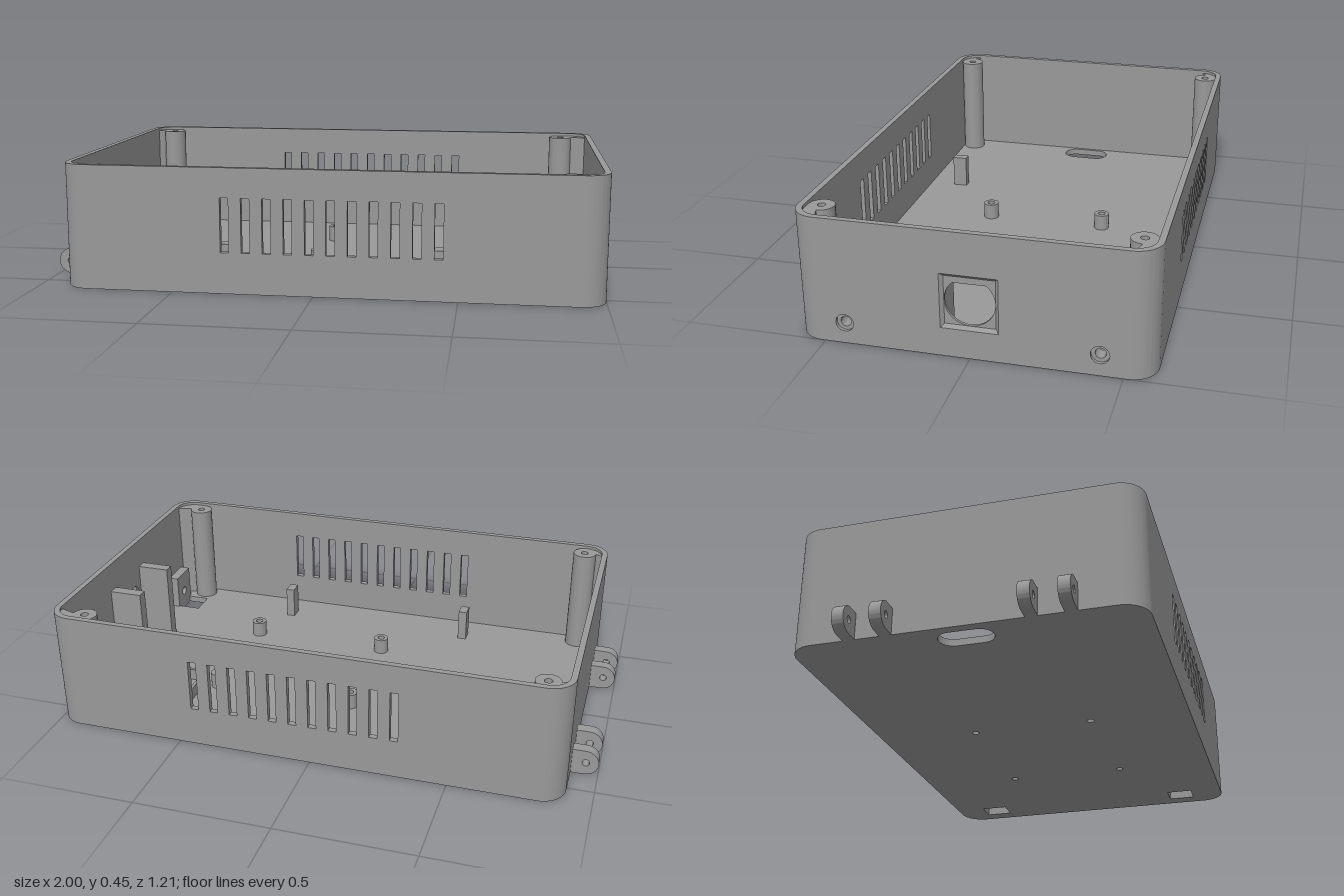
import * as THREE from 'three';
import { toCreasedNormals } from 'three/addons/utils/BufferGeometryUtils.js';

const L = -0.905, R = 1, D = 0.603, H = 0.446;   // tray outline and height
const T = 0.022, RAD = 0.09, FLOOR = 0.025;      // wall, corner radius, floor

const casing = new THREE.MeshStandardMaterial({ color: 0x999999, side: THREE.DoubleSide });
casing.name = 'casing grey';

function rectPath(x0, y0, x1, y1, P = THREE.Path) {
  return new P([[x0, y0], [x1, y0], [x1, y1], [x0, y1]].map(p => new THREE.Vector2(...p)));
}
const circlePath = (x, y, r, P = THREE.Path) => new P().absarc(x, y, r, 0, Math.PI * 2, false);

function roundRect(x0, y0, x1, y1, r, P = THREE.Shape) {
  const p = new P(), q = Math.PI / 2;
  p.absarc(x1 - r, y1 - r, r, 0, q, false);
  p.absarc(x0 + r, y1 - r, r, q, 2 * q, false);
  p.absarc(x0 + r, y0 + r, r, 2 * q, 3 * q, false);
  p.absarc(x1 - r, y0 + r, r, 3 * q, 4 * q, false);
  p.closePath();
  return p;
}

function extrude(shape, depth, holes = []) {
  shape.holes.push(...holes);
  const g = new THREE.ExtrudeGeometry(shape, { depth, bevelEnabled: false, curveSegments: 16 });
  return toCreasedNormals(g, 0.5);
}
// plan outline (x, z) raised from y0 to y1
const raise = (shape, y0, y1, holes) =>
  extrude(shape, y1 - y0, holes).rotateX(Math.PI / 2).translate(0, y1, 0);
// side outline (-z, y) running from x0 to x1
const sideways = (shape, x0, x1, holes) =>
  extrude(shape, x1 - x0, holes).rotateY(Math.PI / 2).translate(x0, 0, 0);

export function createModel() {
  const model = new THREE.Group();
  model.name = 'enclosureTray';
  const add = (name, geometry) => {
    const mesh = new THREE.Mesh(geometry, casing);
    mesh.name = name;
    model.add(mesh);
  };
  const box = (name, x0, x1, y0, y1, z0, z1) =>
    add(name, new THREE.BoxGeometry(x1 - x0, y1 - y0, z1 - z0)
      .translate((x0 + x1) / 2, (y0 + y1) / 2, (z0 + z1) / 2));

  // floor with cable slot, screw access openings and mounting holes
  const mounts = [-0.04, 0.5].flatMap(x => [-0.228, 0.228].map(z => [x, z]));
  add('floor', raise(roundRect(L, -D, R, D, RAD), 0, FLOOR, [
    roundRect(-0.87, -0.098, -0.773, 0.092, 0.048, THREE.Path),
    rectPath(0.85, -0.485, 0.938, -0.38),
    rectPath(0.85, 0.373, 0.938, 0.475),
    ...mounts.map(([x, z]) => circlePath(x, z, 0.014)),
  ]));

  // long walls with ventilation slots
  for (const front of [true, false]) {
    const slots = [];
    for (let i = 0; i < 11; i++) {
      const x = -0.31 + i * 0.0743;
      slots.push(rectPath(x - 0.015, 0.147, x + 0.015, 0.34));
    }
    add(front ? 'frontWall' : 'backWall',
      extrude(rectPath(L + RAD, 0, R - RAD, H, THREE.Shape), T, slots)
        .translate(0, 0, front ? D - T : -D));
  }

  // rounded wall corners and screw bosses
  for (const sx of [-1, 1]) for (const sz of [-1, 1]) {
    const cx = sx < 0 ? L + RAD : R - RAD, cz = sz * (D - RAD);
    const a = Math.atan2(sz, sx) - Math.PI / 4;
    const arc = new THREE.Shape();
    arc.absarc(cx, cz, RAD, a, a + Math.PI / 2, false);
    arc.absarc(cx, cz, RAD - T, a + Math.PI / 2, a, true);
    add('cornerWall', raise(arc, 0, H));
    const bx = sx < 0 ? -0.813 : 0.877, bz = sz * 0.535;
    add('screwBoss', raise(circlePath(bx, bz, 0.045, THREE.Shape), FLOOR, 0.435,
      [circlePath(bx, bz, 0.014)]));
    // web joining the boss to the corner
    const web = new THREE.Shape();
    web.absarc(cx, cz, RAD - 0.012, a, a + Math.PI / 2, false);
    web.absarc(bx, bz, 0.044, a + Math.PI / 2, a, true);
    add('bossWeb', raise(web, FLOOR, 0.435));
  }

  // plain left wall
  box('leftWall', L, L + T, 0, H, -D + RAD, D - RAD);

  // right wall: outer layer with recesses, inner layer with smaller openings
  const wall = () => rectPath(-D + RAD, 0, D - RAD, H, THREE.Shape);
  const screws = [-0.428, 0.425], wy = 0.2;
  add('rightWallOuter', sideways(wall(), R - 0.012, R, [
    rectPath(-0.0975, wy - 0.0975, 0.0975, wy + 0.0975),
    ...screws.map(s => circlePath(s, 0.075, 0.031)),
  ]));
  const flat = Math.asin(0.064 / 0.085);
  const dHole = new THREE.Path();
  dHole.absarc(0, wy, 0.085, Math.PI - flat, Math.PI * 2 + flat, false);
  dHole.closePath();
  add('rightWallInner', sideways(wall(), R - T, R - 0.012, [
    dHole, ...screws.map(s => circlePath(s, 0.075, 0.018)),
  ]));
  const bevel = new THREE.CylinderGeometry(0.0975 * Math.SQRT2, 0.086 * Math.SQRT2, 0.012, 4, 1, true, Math.PI / 4)
    .toNonIndexed();
  bevel.computeVertexNormals();
  add('socketBevel', bevel.rotateZ(-Math.PI / 2).translate(R - 0.006, wy, 0));

  // drilled blocks behind the side screws
  for (const s of screws)
    add('screwBlock', sideways(rectPath(s - 0.062, FLOOR, s + 0.062, 0.16, THREE.Shape), 0.938, R - T,
      [circlePath(s, 0.075, 0.018)]));

  // socket guides
  box('socketGuide', 0.852, R - T, FLOOR, 0.335, -0.153, -0.11);
  box('socketGuide', 0.852, R - T, FLOOR, 0.335, 0.098, 0.14);

  // board standoffs
  for (const [x, z] of mounts)
    add('standoff', raise(circlePath(x, z, 0.029, THREE.Shape), FLOOR, 0.085, [circlePath(x, z, 0.014)]));

  // board clip posts
  for (const x of [-0.342, 0.428])
    box('clipPost', x - 0.017, x + 0.017, FLOOR, 0.15, 0.424, 0.48);

  // low module frame with a gap on its right side
  const f = 0.012, top = 0.07;
  box('moduleFrame', 0.557, 0.825, FLOOR, top, -0.472, -0.472 + f);
  box('moduleFrame', 0.557, 0.825, FLOOR, top, -0.205 - f, -0.205);
  box('moduleFrame', 0.557, 0.557 + f, FLOOR, top, -0.472 + f, -0.205 - f);
  box('moduleFrame', 0.825 - f, 0.825, FLOOR, top, -0.472 + f, -0.385);
  box('moduleFrame', 0.825 - f, 0.825, FLOOR, top, -0.3, -0.205 - f);

  // hinge lugs on the left side
  for (const z of [-0.378, -0.25, 0.238, 0.367]) {
    const lug = new THREE.Shape();
    lug.moveTo(L + 0.002, 0);
    lug.lineTo(L + 0.002, 0.096);
    lug.absarc(-0.952, 0.048, 0.048, Math.PI / 2, Math.PI * 1.5, false);
    lug.closePath();
    add('hingeLug', extrude(lug, 0.042, [circlePath(-0.955, 0.048, 0.013)]).translate(0, 0, z - 0.021));
  }

  return model;
}
